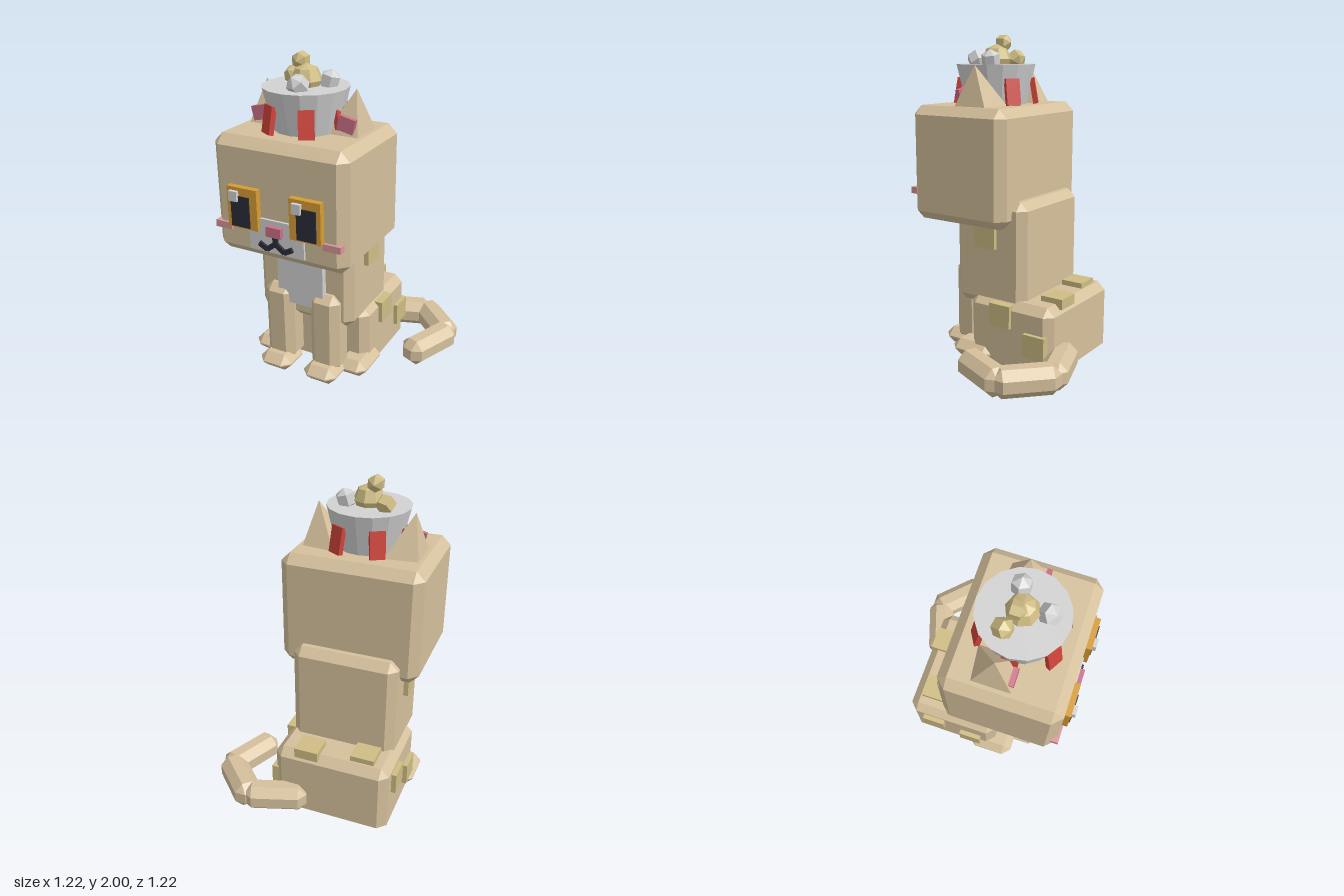
import * as THREE from 'three';
import { ConvexGeometry } from 'three/addons/geometries/ConvexGeometry.js';

const mat = (name, color) => {
  const m = new THREE.MeshStandardMaterial({ color });
  m.name = name;
  return m;
};

// Box from min/max corners with all edges chamfered; optionally a sharp, flat bottom
function chamferBox(w, h, d, c, sharpBottom = false) {
  const pts = [], x = w / 2, y = h / 2, z = d / 2;
  for (const sx of [-1, 1]) for (const sy of [-1, 1]) for (const sz of [-1, 1]) {
    const k = sharpBottom && sy < 0 ? 0 : c;
    pts.push(new THREE.Vector3(sx * x, sy * (y - k), sz * (z - c)));
    pts.push(new THREE.Vector3(sx * (x - c), sy * (y - k), sz * z));
    if (k) pts.push(new THREE.Vector3(sx * (x - c), sy * y, sz * (z - c)));
  }
  return new ConvexGeometry(pts);
}

// Faceted copy of a geometry
function facet(geo) {
  const g = geo.toNonIndexed();
  g.computeVertexNormals();
  return g;
}

export function createModel() {
  const model = new THREE.Group();
  model.name = 'sittingCat';
  const fur = mat('tanFur', 0xd5c09c);
  const spot = mat('oliveSpot', 0xcfbd84);
  const grey = mat('lightGrey', 0xd2d2d2);
  const amber = mat('amber', 0xd69c34);
  const dark = mat('darkNavy', 0x2b2b3a);
  const rose = mat('rosePink', 0xcc7085);
  const blush = mat('blushPink', 0xd89696);
  const red = mat('red', 0xd0453c);
  const CX = -0.182; // body centre line

  const add = (name, geo, material, x = 0, y = 0, z = 0) => {
    const m = new THREE.Mesh(geo, material);
    m.name = name;
    m.position.set(x, y, z);
    model.add(m);
    return m;
  };
  // Parts given by their extents
  const span = (name, material, x0, x1, y0, y1, z0, z1, c = 0, sharp = false) => add(name,
    c ? chamferBox(x1 - x0, y1 - y0, z1 - z0, c, sharp) : new THREE.BoxGeometry(x1 - x0, y1 - y0, z1 - z0),
    material, (x0 + x1) / 2, (y0 + y1) / 2, (z0 + z1) / 2);

  // Head, torso and haunches
  span('head', fur, -0.61, 0.25, 0.87, 1.58, -0.145, 0.55, 0.055);
  span('torso', fur, -0.508, 0.145, 0.36, 1.03, -0.225, 0.29, 0.05);
  span('haunches', fur, -0.545, 0.182, 0.01, 0.43, -0.44, 0.155, 0.05, true);
  span('chestPatch', grey, -0.34, -0.025, 0.48, 0.9, 0.27, 0.33);

  // Legs, paws, ears, eyes and cheeks, mirrored about the centre line
  for (const s of [-1, 1]) {
    const side = s > 0 ? 'left' : 'right';
    const mid = (name, material, off, w, y0, y1, z0, z1, c) =>
      span(side + name, material, CX + s * off - w / 2, CX + s * off + w / 2, y0, y1, z0, z1, c);
    mid('FrontLeg', fur, 0.16, 0.2, 0.05, 0.585, 0.165, 0.355, 0.047);
    mid('FrontPaw', fur, 0.16, 0.225, 0.005, 0.115, 0.2, 0.44, 0.05);
    mid('HindPaw', fur, 0.3, 0.21, 0.005, 0.115, -0.02, 0.28, 0.05);
    mid('EyeFrame', amber, 0.203, 0.197, 1.06, 1.305, 0.54, 0.588);
    mid('Pupil', dark, 0.214, 0.122, 1.07, 1.255, 0.55, 0.595);
    mid('Cheek', blush, 0.355, 0.11, 1.025, 1.066, 0.522, 0.567);

    // Leaning pyramid ear with a tilted inner pad
    add(side + 'Ear', new ConvexGeometry([
      [0.355, 1.56, 0.025], [0.355, 1.56, 0.265], [0.14, 1.56, 0.265],
      [0.14, 1.56, 0.0], [0.292, 1.825, 0.147],
    ].map(([x, y, z]) => new THREE.Vector3(CX + s * x, y, z))), fur);
    const pad = add(side + 'InnerEar', new THREE.BoxGeometry(0.1, 0.085, 0.028), rose,
      CX + s * 0.28, 1.645, 0.246);
    pad.rotation.z = -s * 0.22;

    // Mouth arms: a falling stroke and an upturned tip
    const arm = add(side + 'MouthArm', new THREE.BoxGeometry(0.07, 0.03, 0.03), dark,
      CX + s * 0.03, 0.978, 0.565);
    arm.rotation.z = -s * 0.65;
    const tip = add(side + 'MouthTip', new THREE.BoxGeometry(0.06, 0.03, 0.03), dark,
      CX + s * 0.082, 0.972, 0.565);
    tip.rotation.z = s * 0.5;
  }

  // Face details
  span('leftGlint', grey, -0.05, 0.005, 1.225, 1.285, 0.57, 0.61);
  span('rightGlint', grey, -0.46, -0.405, 1.225, 1.285, 0.57, 0.61);
  span('muzzle', grey, -0.36, -0.003, 0.935, 1.135, 0.54, 0.565);
  span('nose', rose, -0.232, -0.136, 1.045, 1.105, 0.54, 0.592);
  span('mouthStem', dark, -0.198, -0.166, 0.985, 1.05, 0.55, 0.58);

  // Fur spots: raised plates on torso, haunch sides and haunch top
  [
    [0.12, 0.173, 0.735, 0.885, -0.035, 0.115],
    [-0.537, -0.48, 0.735, 0.885, -0.035, 0.115],
    [0.15, 0.208, 0.27, 0.412, -0.168, -0.022],
    [0.15, 0.208, 0.12, 0.265, -0.412, -0.265],
    [-0.575, -0.51, 0.23, 0.36, -0.335, -0.19],
    [-0.575, -0.51, 0.1, 0.24, -0.08, 0.065],
    [-0.445, -0.295, 0.4, 0.463, -0.38, -0.235],
    [-0.108, 0.042, 0.4, 0.463, -0.436, -0.29],
  ].forEach((e, i) => span('furSpot' + (i + 1), spot, ...e));

  // Tail: three chamfered links curling round on the ground
  [
    [-0.03, -0.425, 0.34, -0.55],
    [0.285, -0.575, 0.565, -0.3],
    [0.552, -0.365, 0.4, 0.005],
  ].forEach(([x0, z0, x1, z1], i) => {
    const dx = x1 - x0, dz = z1 - z0;
    const link = add('tailLink' + (i + 1), chamferBox(0.17, 0.17, Math.hypot(dx, dz), 0.05), fur,
      (x0 + x1) / 2, 0.107, (z0 + z1) / 2);
    link.rotation.y = Math.atan2(dx, dz);
  });

  // Bucket on the head
  add('bucket', facet(new THREE.CylinderGeometry(0.25, 0.19, 0.255, 16)), grey, CX, 1.6975, 0.2);

  // Six red tabs round the bucket, lower ends leaning outward
  for (let i = 0; i < 6; i++) {
    const a = Math.PI / 2 + i * Math.PI / 3, r = i % 3 ? 0.237 : 0.212;
    const tab = add('bucketTab' + (i + 1), new THREE.BoxGeometry(0.09, 0.16, 0.03), red,
      CX + r * Math.sin(a), 1.662, 0.2 + r * Math.cos(a));
    tab.rotation.order = 'YXZ';
    tab.rotation.set(-0.17, a, 0);
  }

  // Stones heaped in the bucket
  [
    [spot, -0.18, 1.855, 0.195, 0.092, 8, 0],
    [spot, -0.3, 1.855, 0.13, 0.062, 6, 0.5],
    [spot, -0.225, 1.955, 0.175, 0.055, 6, 0.8],
    [grey, -0.055, 1.855, 0.15, 0.064, 6, -0.5],
    [grey, -0.155, 1.852, 0.33, 0.066, 6, 0.4],
  ].forEach(([m, x, y, z, r, n, tilt], i) => {
    const stone = add('stone' + (i + 1), facet(new THREE.SphereGeometry(r, n, n / 2)), m, x, y, z);
    stone.rotation.set(tilt, tilt * 2, tilt);
  });

  return model;
}
